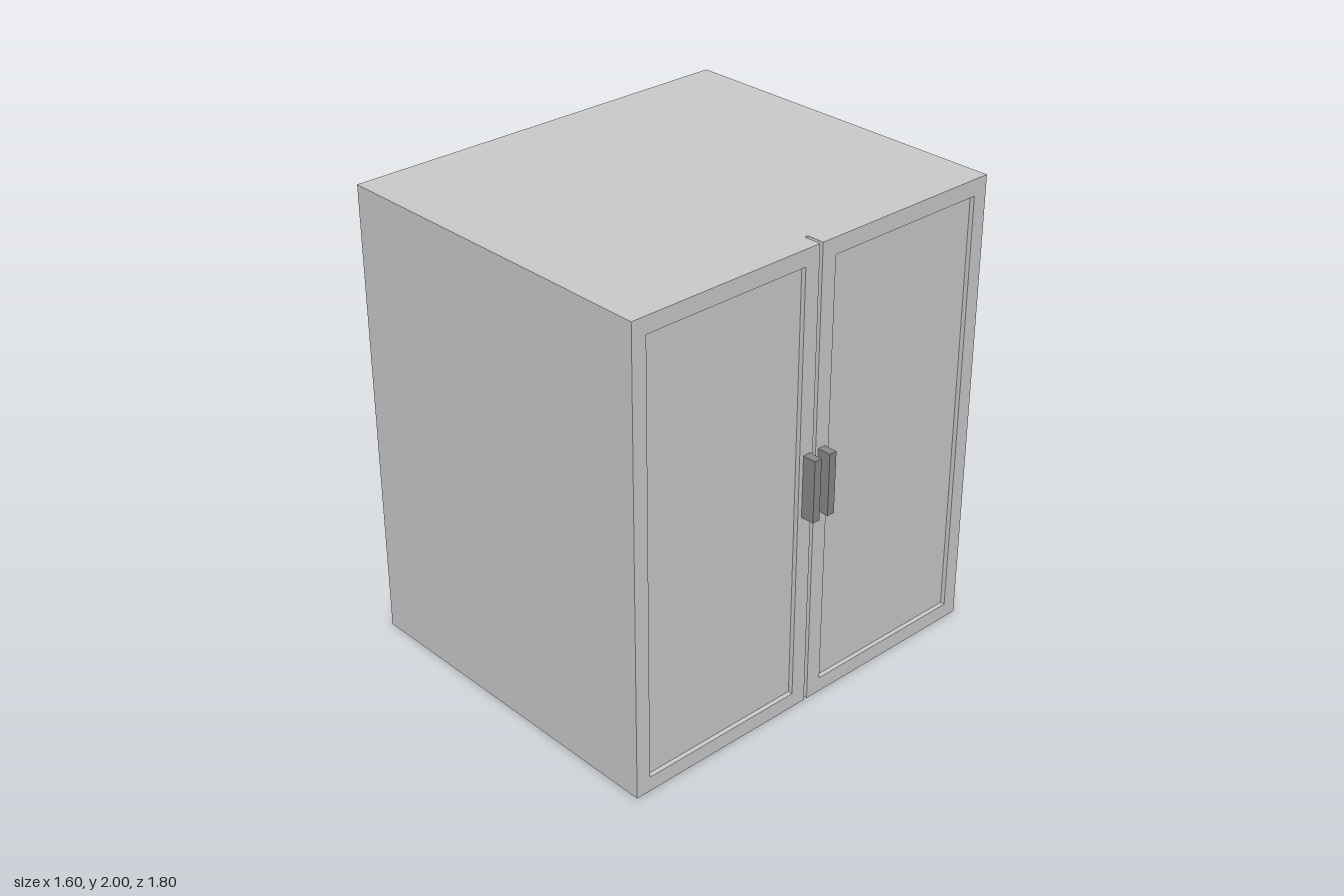
import * as THREE from 'three';

const H = 2, BACK = -0.8, FRONT = 0.665, DOOR = 0.74, HALF = 0.9, WALL = 0.07;

export function createModel() {
  const model = new THREE.Group();
  model.name = 'cabinet';
  const grey = new THREE.MeshStandardMaterial({ color: 0xcccccc });
  const dark = new THREE.MeshStandardMaterial({ color: 0x8a8a8a });

  // Box given by its two extreme corners
  function box(name, parent, [x0, y0, z0], [x1, y1, z1], material = grey) {
    const mesh = new THREE.Mesh(new THREE.BoxGeometry(x1 - x0, y1 - y0, z1 - z0), material);
    mesh.position.set((x0 + x1) / 2, (y0 + y1) / 2, (z0 + z1) / 2);
    mesh.name = name;
    parent.add(mesh);
  }

  // Hollow carcass, open towards the doors
  const carcass = new THREE.Group();
  carcass.name = 'carcass';
  model.add(carcass);
  const inner = HALF - WALL;
  box('bottomPanel', carcass, [BACK, 0, -inner], [FRONT, WALL, inner]);
  box('topPanel', carcass, [BACK, H - WALL, -inner], [FRONT, H, inner]);
  box('leftSidePanel', carcass, [BACK, 0, -HALF], [FRONT, H, -inner]);
  box('rightSidePanel', carcass, [BACK, 0, inner], [FRONT, H, HALF]);
  box('backPanel', carcass, [BACK, WALL, -inner], [BACK + WALL, H - WALL, inner]);

  // Inner shelves
  for (const y of [0.48, 0.96, 1.41]) {
    box('shelf', carcass, [BACK + WALL, y, -inner], [FRONT, y + 0.05, inner]);
  }

  // Pair of framed doors with recessed panels and bar handles
  for (const side of [-1, 1]) {
    const door = new THREE.Group();
    door.name = side > 0 ? 'rightDoor' : 'leftDoor';
    model.add(door);
    // Door part mirrored across z = 0
    const part = (name, x0, x1, y0, y1, z0, z1, material) => {
      const [a, b] = side > 0 ? [z0, z1] : [-z1, -z0];
      box(name, door, [x0, y0, a], [x1, y1, b], material);
    };
    const z0 = 0.008, z1 = 0.077, z2 = 0.835;
    part('innerStile', FRONT, DOOR, 0, H, z0, z1);
    part('outerStile', FRONT, DOOR, 0, H, z2, HALF);
    part('bottomRail', FRONT, DOOR, 0, 0.065, z1, z2);
    part('topRail', FRONT, DOOR, 1.93, H, z1, z2);
    part('doorPanel', FRONT + 0.02, DOOR - 0.02, 0.065, 1.93, z1, z2);
    part('handle', DOOR, 0.8, 0.88, 1.15, 0.022, 0.057, dark);
  }
  return model;
}
